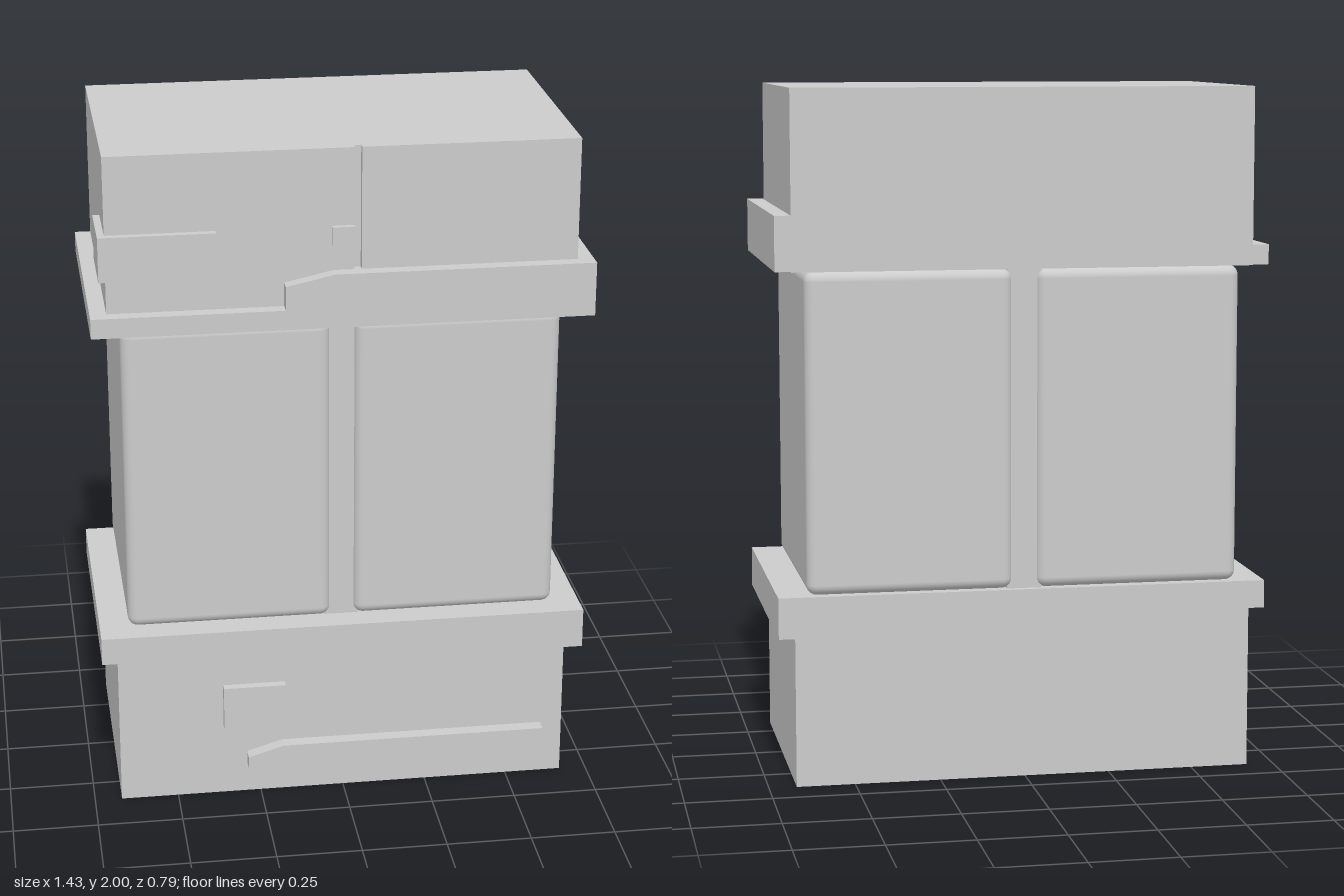
import * as THREE from 'three';
import { RoundedBoxGeometry } from 'three/addons/geometries/RoundedBoxGeometry.js';

const BACK = -0.395;
const BODY_FRONT = 0.355;
const BAND_FRONT = 0.395;

export function createModel() {
  const group = new THREE.Group();
  const material = new THREE.MeshStandardMaterial({ color: 0xcccccc });

  const add = (name, geometry) => {
    const mesh = new THREE.Mesh(geometry, material);
    mesh.name = name;
    group.add(mesh);
    return mesh;
  };

  // Box given by its limits on each axis
  const box = (name, x0, x1, y0, y1, z0, z1) =>
    add(name, new THREE.BoxGeometry(x1 - x0, y1 - y0, z1 - z0))
      .position.set((x0 + x1) / 2, (y0 + y1) / 2, (z0 + z1) / 2);

  const extrude = (points, depth) => new THREE.ExtrudeGeometry(
    new THREE.Shape(points.map(([x, y]) => new THREE.Vector2(x, y))),
    { depth, bevelEnabled: false });

  // Front outline pushed through from z0 to z1
  const slab = (name, points, z0, z1) =>
    add(name, extrude(points, z1 - z0).translate(0, 0, z0));

  // Base housing
  box('baseHousing', -0.67, 0.67, 0, 0.555, BACK, BODY_FRONT);

  // Top housing: plan outline with a narrow groove in the front face
  const plan = [
    [-0.67, -BODY_FRONT], [0.03, -BODY_FRONT], [0.03, -0.335], [0.05, -0.335],
    [0.05, -BODY_FRONT], [0.67, -BODY_FRONT], [0.67, -BACK], [-0.67, -BACK],
  ];
  add('topHousing', extrude(plan, 0.515).rotateX(-Math.PI / 2).translate(0, 1.485, 0));

  // Stepped bands around both housings
  slab('upperBand', [
    [-0.717, 1.487], [0.717, 1.487], [0.717, 1.645], [-0.03, 1.645],
    [-0.17, 1.615], [-0.17, 1.545], [-0.717, 1.545],
  ], BACK, BAND_FRONT);
  slab('lowerBand', [
    [-0.717, 0.473], [-0.165, 0.473], [-0.03, 0.435], [0.717, 0.435],
    [0.717, 0.555], [-0.717, 0.555],
  ], BACK, BAND_FRONT);

  // Rounded middle blocks with a recessed strip between them
  for (const [name, side] of [['rightBlock', -1], ['leftBlock', 1]]) {
    add(name, new RoundedBoxGeometry(0.598, 0.93, 0.727, 5, 0.03))
      .position.set(side * 0.334, 1.021, -0.028);
  }
  box('centreStrip', -0.05, 0.05, 0.55, 1.49, -0.375, 0.315);

  // Top fittings: corner plate wrapping the side, and a small latch
  box('cornerPlate', -0.69, -0.36, 1.645, 1.775, 0.165, 0.377);
  box('latch', -0.035, 0.03, 1.72, 1.775, 0.34, 0.37);

  // Base fittings: square panel and long handle with a sloped end
  box('basePanel', -0.36, -0.175, 0.225, 0.36, 0.34, 0.38);
  slab('baseHandle', [
    [-0.29, 0.095], [0.605, 0.095], [0.605, 0.165], [-0.185, 0.165], [-0.29, 0.133],
  ], 0.34, BAND_FRONT);

  return group;
}
